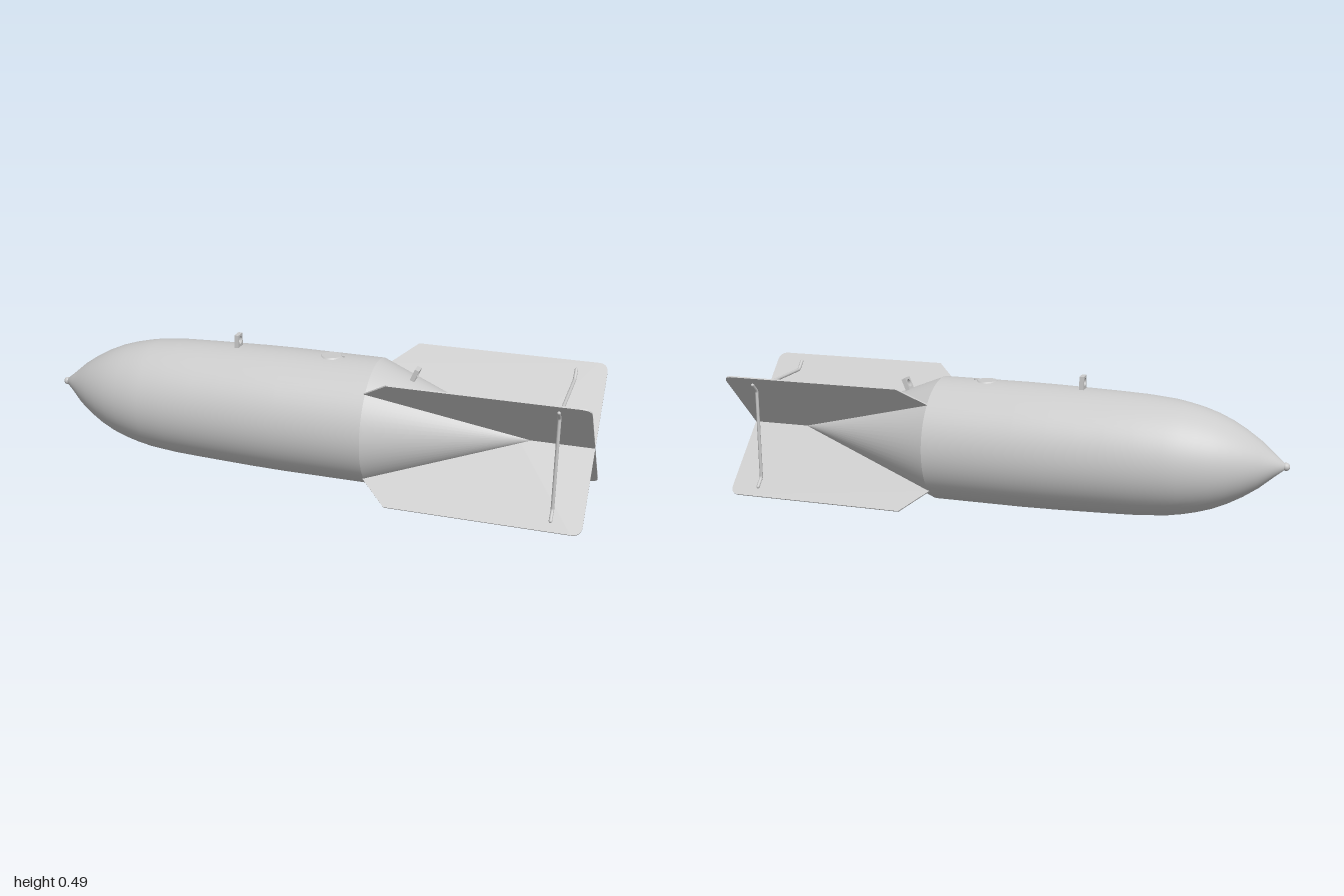
import * as THREE from 'three';

const AXIS_Y = 0.223, RADIUS = 0.223;
const grey = new THREE.MeshStandardMaterial({ color: 0xcccccc });

function add(parent, name, geometry) {
  const mesh = new THREE.Mesh(geometry, grey);
  mesh.name = name;
  parent.add(mesh);
  return mesh;
}

// Surface of revolution along x from [x, radius] pairs
function turned(points) {
  const profile = points.map(([x, r]) => new THREE.Vector2(r, x));
  return new THREE.LatheGeometry(profile, 64).rotateZ(-Math.PI / 2);
}

// Flat fin lying in the x / radial plane
function finGeometry() {
  const t = 0.005;
  const s = new THREE.Shape();
  s.moveTo(0.235, RADIUS);
  s.lineTo(0.33, 0.315);
  s.lineTo(0.965, 0.315);
  s.quadraticCurveTo(1, 0.315, 1, 0.28);
  s.lineTo(1, 0);
  s.lineTo(0.74, 0);
  s.lineTo(0.25, 0.2);
  s.closePath();
  return new THREE.ExtrudeGeometry(s, { depth: t, bevelEnabled: false }).translate(0, 0, -t / 2);
}

// Upright plate with a round eye, thin along x, base at y = 0
function lugGeometry() {
  const w = 0.04, h = 0.043, t = 0.016;
  const s = new THREE.Shape();
  s.moveTo(-w / 2, -0.01);
  s.lineTo(w / 2, -0.01);
  s.lineTo(w / 2, h);
  s.lineTo(-w / 2, h);
  s.closePath();
  const eye = new THREE.Path();
  eye.absarc(0, h / 2, 0.014, 0, Math.PI * 2, true);
  s.holes.push(eye);
  return new THREE.ExtrudeGeometry(s, { depth: t, bevelEnabled: false, curveSegments: 16 })
    .translate(0, 0, -t / 2).rotateY(Math.PI / 2);
}

// Brace rod with both ends bent outwards to lie against the fins
function braceGeometry() {
  const x = 0.895, y = 0.174;
  const corners = [[-0.192, 0.202], [-0.164, y], [0.164, y], [0.192, 0.202]]
    .map(([z, h]) => new THREE.Vector3(x, h, z));
  const path = new THREE.CurvePath();
  const a = corners[1].clone().lerp(corners[2], 0.02), b = corners[2].clone().lerp(corners[1], 0.02);
  const a0 = corners[1].clone().lerp(corners[0], 0.2), b0 = corners[2].clone().lerp(corners[3], 0.2);
  path.add(new THREE.LineCurve3(corners[0], a0));
  path.add(new THREE.QuadraticBezierCurve3(a0, corners[1], a));
  path.add(new THREE.LineCurve3(a, b));
  path.add(new THREE.QuadraticBezierCurve3(b, corners[2], b0));
  path.add(new THREE.LineCurve3(b0, corners[3]));
  return new THREE.TubeGeometry(path, 80, 0.006, 10, false);
}

export function createModel() {
  const group = new THREE.Group();
  group.name = 'finnedBody';
  const core = new THREE.Group();
  core.name = 'core';
  core.position.y = AXIS_Y;
  group.add(core);

  // Nose, barrel and tail cone
  add(core, 'hull', turned([
    [-0.985, 0], [-0.982, 0.012], [-0.95, 0.038], [-0.9, 0.081], [-0.85, 0.115], [-0.8, 0.143],
    [-0.75, 0.165], [-0.7, 0.181], [-0.65, 0.193], [-0.6, 0.202], [-0.5, 0.211],
    [-0.4, 0.215], [-0.3, 0.218], [-0.2, 0.221], [-0.08, RADIUS], [0.24, RADIUS],
  ]));
  add(core, 'tailCone', turned([[0.24, RADIUS], [0.78, 0.005], [0.782, 0]]));
  add(core, 'noseTip', new THREE.SphereGeometry(0.014, 20, 14)).position.x = -0.986;

  // Four diagonal fins and the square of braces between them
  const fin = finGeometry(), brace = braceGeometry();
  for (let i = 0; i < 4; i++) {
    add(core, 'fin', fin).rotation.x = Math.PI / 4 + i * Math.PI / 2;
    const rod = add(core, 'finBrace', brace);
    rod.rotation.x = i * Math.PI / 2;
    // Caps closing the rod ends
    for (const side of [-1, 1]) {
      const cap = new THREE.Mesh(new THREE.SphereGeometry(0.006, 10, 8), grey);
      cap.name = 'braceEnd';
      cap.position.set(0.895, 0.202, side * 0.192);
      rod.add(cap);
    }
  }

  // Lifting lugs: one upright on the barrel, one square to the tail cone
  const lug = lugGeometry();
  add(core, 'frontLug', lug).position.set(-0.28, 0.221, 0);
  const rearLug = add(core, 'rearLug', lug);
  rearLug.position.set(0.367, 0.171, 0);
  rearLug.rotation.z = -Math.atan2(RADIUS, 0.54);

  // Round access cover on top with a small stud beside it
  add(core, 'accessCover', new THREE.CylinderGeometry(0.034, 0.04, 0.007, 40)).position.set(0.07, 0.2215, 0);
  add(core, 'coverStud', new THREE.CylinderGeometry(0.005, 0.005, 0.012, 12)).position.set(0.115, 0.222, 0);

  return group;
}
